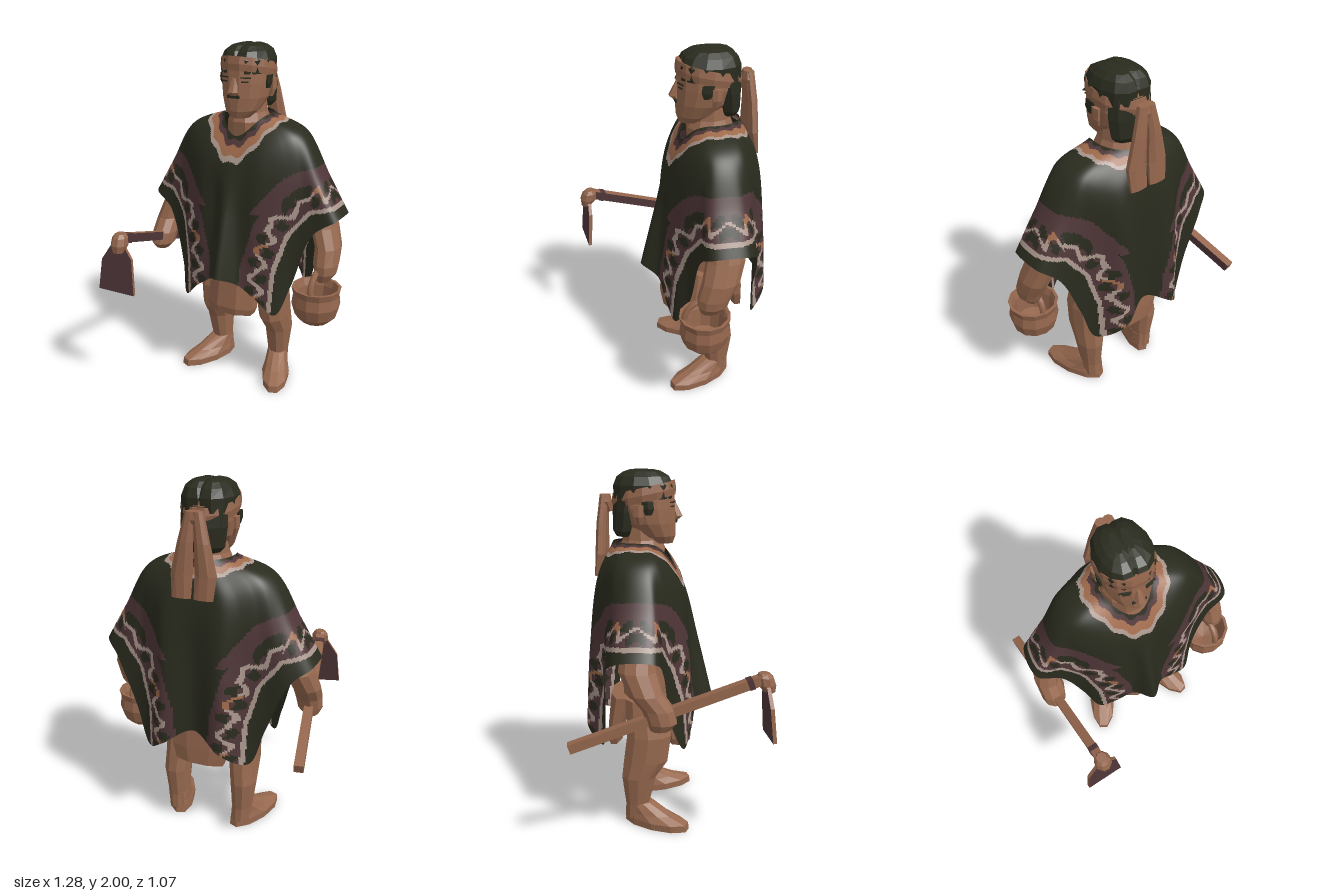
import * as THREE from 'three';

const mat = (name, color, side = THREE.FrontSide) => {
  const m = new THREE.MeshStandardMaterial({ color, side });
  m.name = name;
  return m;
};
const skin = mat('brown skin', 0x97694f);
const clay = mat('clay', 0x94664d, THREE.DoubleSide);
const maroon = mat('maroon', 0x4f3638, THREE.DoubleSide);
const dark = mat('dark olive cloth', 0x2a2b1e, THREE.DoubleSide);
const pale = mat('pale thread', 0xa9968c, THREE.DoubleSide);
const tan = mat('tan thread', 0x9f6a4b, THREE.DoubleSide);

function add(parent, name, geo, material, x = 0, y = 0, z = 0) {
  const m = new THREE.Mesh(geo, material);
  m.name = name;
  m.position.set(x, y, z);
  parent.add(m);
  return m;
}

// Faceted body through stacked ellipses: [x, y, z, rx, rz], bottom to top
function loft(sections, n = 10, tilt = 0) {
  const s = [...sections].sort((a, b) => a[1] - b[1]);
  const pos = [], idx = [];
  for (const [x, y, z, rx, rz] of s)
    for (let i = 0; i < n; i++) {
      const a = ((i + 0.5) / n) * Math.PI * 2;
      pos.push(x + rx * Math.sin(a), y + tilt * Math.cos(a), z + rz * Math.cos(a));
    }
  for (let j = 0; j < s.length - 1; j++)
    for (let i = 0; i < n; i++) {
      const a = j * n + i, b = j * n + (i + 1) % n;
      idx.push(a, b, b + n, a, b + n, a + n);
    }
  const top = (s.length - 1) * n;
  for (let i = 1; i < n - 1; i++) idx.push(0, i + 1, i, top, top + i, top + i + 1);
  const g = new THREE.BufferGeometry();
  g.setAttribute('position', new THREE.Float32BufferAttribute(pos, 3));
  g.setIndex(idx);
  const flat = g.toNonIndexed();
  flat.computeVertexNormals();
  return flat;
}

// Half rings of the poncho, front centre to back centre
const hem = [[0, .73, .215], [.09, .68, .125], [.2, .6, .1], [.3, .51, .06], [.365, .68, -.01], [.47, 1, -.045], [.59, 1.09, -.08],
  [.59, 1.09, -.27], [.5, 1.02, -.34], [.38, .74, -.36], [.3, .53, -.39], [.17, .61, -.495], [0, .7, -.44]];
const chest = [[0, 1.08, .13], [.075, 1.06, .085], [.17, 1.05, .08], [.26, 1.05, .045], [.33, 1.1, 0], [.4, 1.24, -.05], [.475, 1.29, -.09],
  [.475, 1.29, -.26], [.41, 1.24, -.325], [.33, 1.1, -.355], [.26, 1.05, -.39], [.16, 1.05, -.465], [0, 1.08, -.43]];
const shoulder = [[0, 1.37, .055], [.08, 1.38, .045], [.16, 1.41, .03], [.22, 1.45, 0], [.28, 1.49, -.04], [.32, 1.52, -.08], [.345, 1.53, -.13],
  [.345, 1.53, -.22], [.32, 1.52, -.29], [.28, 1.49, -.33], [.22, 1.46, -.37], [.14, 1.45, -.41], [0, 1.45, -.41]];
const neckline = hem.map((_, i) => {
  const a = (i / 12) * Math.PI, c = Math.cos(a);
  return [.135 * Math.sin(a), 1.62 - .11 * Math.max(0, c) ** 3, -.18 + .16 * c];
});

const ringCurve = half => {
  const back = half.slice(1, -1).reverse().map(([x, y, z]) => [-x, y, z]);
  return new THREE.CatmullRomCurve3([...half, ...back].map(p => new THREE.Vector3(...p)), true);
};

// Guide line of the woven side border, in (|x|, y)
const guide = [[.66, 1.18], [.45, 1.13], [.34, .99], [.28, .77], [.265, .45]];
function borderCoords(x, y) {
  let best = 9, along = 0, run = 0, sign = 1;
  for (let i = 0; i < guide.length - 1; i++) {
    const [ax, ay] = guide[i], dx = guide[i + 1][0] - ax, dy = guide[i + 1][1] - ay;
    const len = Math.hypot(dx, dy);
    const t = Math.min(1, Math.max(0, ((x - ax) * dx + (y - ay) * dy) / len ** 2));
    const d = Math.hypot(x - ax - t * dx, y - ay - t * dy);
    if (d < best) {
      best = d;
      along = run + t * len;
      sign = dx * (y - ay) - dy * (x - ax) < 0 ? 1 : -1;
    }
    run += len;
  }
  return [best * sign, along];
}

// Colour index: 0 dark, 1 maroon, 2 pale, 3 tan
function weave(p, neck) {
  const a = Math.atan2(p.x, p.z + .18);
  const d = p.distanceTo(neck) / (.1 + .055 * Math.max(0, Math.cos(a)) ** 6) + .07 * Math.cos(a * 14);
  if (d < .16) return 0;
  if (d < .4) return 1;
  if (d < .8) return 3;
  if (d < 1.03) return 2;
  // The border runs along z on the sleeve and along the guide on the flaps
  const [t, run] = borderCoords(Math.abs(p.x), p.y);
  const width = p.y > 1.1 ? .23 : .18;
  if (t < -.012 || t > width) return 0;
  if (t < .012) return 2;
  const s = run + Math.max(0, p.y - 1.1) * 0.5 + (Math.abs(p.x) > .45 ? Math.abs(p.z + .175) : .12);
  const wave = Math.sin(s * 42);
  const off = t - .085;
  if (Math.abs(off - .036 * wave) < .017) return Math.sin(s * 21 + 1) > .75 ? 3 : 2;
  if (Math.abs(off + .036 * wave) < .028 && Math.abs(wave) > .45) return 0;
  return 1;
}

function ponchoGeometry(cols = 280, rows = 100) {
  const rings = [neckline, shoulder, chest, hem].map(ringCurve);
  const pos = [], cells = [[], [], [], []], grid = [];
  for (let i = 0; i < cols; i++) {
    const line = new THREE.CatmullRomCurve3(rings.map(r => r.getPoint(i / cols)));
    for (let j = 0; j <= rows; j++) {
      const p = line.getPoint(j / rows);
      grid.push(p);
      pos.push(p.x, p.y, p.z);
    }
  }
  const w = rows + 1;
  for (let i = 0; i < cols; i++)
    for (let j = 0; j < rows; j++) {
      const a = i * w + j, d = ((i + 1) % cols) * w + j;
      const mid = grid[a].clone().add(grid[d + 1]).multiplyScalar(.5);
      cells[weave(mid, grid[i * w])].push(a, a + 1, d + 1, a, d + 1, d);
    }
  const g = new THREE.BufferGeometry();
  g.setAttribute('position', new THREE.Float32BufferAttribute(pos, 3));
  g.setIndex(cells.flat());
  let start = 0;
  cells.forEach((c, k) => { g.addGroup(start, c.length, k); start += c.length; });
  g.computeVertexNormals();
  return g;
}

export function createModel() {
  const model = new THREE.Group();
  model.name = 'farmer';
  add(model, 'poncho', ponchoGeometry(), [dark, maroon, pale, tan]);

  // Body, loincloth and neck
  add(model, 'torso', loft([[0, .56, -.16, .15, .1], [0, .7, -.17, .21, .13], [0, 1.1, -.17, .2, .13], [0, 1.4, -.18, .2, .12], [0, 1.5, -.19, .13, .1]]), skin);
  add(model, 'neck', loft([[0, 1.45, -.19, .13, .13], [0, 1.58, -.18, .12, .13], [0, 1.63, -.18, .1, .11], [0, 1.7, -.18, .095, .11]]), skin);
  add(model, 'frontFlap', loft([[0, .46, .02, .15, .075], [0, .5, .02, .165, .08], [0, .75, -.02, .15, .08]], 8), clay);
  add(model, 'backFlap', loft([[0, .46, -.35, .15, .045], [0, .55, -.34, .18, .05], [0, .75, -.3, .18, .07]], 8), clay);

  // Legs, and feet turned outward
  for (const s of [-1, 1]) {
    add(model, 'leg', loft([[s * .2, .04, -.21, .058, .075], [s * .203, .13, -.21, .06, .07], [s * .208, .3, -.2, .077, .1], [s * .2, .4, -.16, .085, .13],
      [s * .19, .55, -.14, .092, .13], [s * .14, .75, -.16, .1, .12]]), skin);
    const foot = add(model, 'foot', loft([[0, .005, .11, .08, .2], [0, .045, .11, .083, .195], [0, .08, .06, .07, .14], [0, .14, 0, .058, .075]]), skin, s * .2, 0, -.2);
    foot.rotation.y = s * .38;
  }

  // Arms and fists
  add(model, 'leftArm', loft([[.4, 1.32, -.17, .06, .08], [.49, 1.03, -.175, .075, .105], [.53, .92, -.145, .072, .1], [.535, .83, -.11, .072, .09],
    [.54, .78, -.1, .06, .08], [.53, .73, -.09, .035, .05]]), skin);
  add(model, 'rightArm', loft([[-.4, 1.32, -.17, .06, .08], [-.5, 1.03, -.175, .08, .1], [-.535, .92, -.13, .075, .09], [-.535, .84, -.07, .075, .085],
    [-.54, .77, -.05, .07, .08], [-.55, .73, -.06, .04, .05]]), skin);

  // Head and face
  const head = new THREE.Group();
  head.name = 'head';
  model.add(head);
  add(head, 'skull', loft([[0, 1.61, -.08, .055, .07], [0, 1.65, -.1, .095, .105], [0, 1.72, -.14, .127, .147], [0, 1.8, -.16, .14, .165],
    [0, 1.88, -.165, .142, .165], [0, 1.93, -.165, .135, .155]], 14), skin);
  add(head, 'nose', loft([[0, 1.735, -.005, .028, .022], [0, 1.755, .012, .03, .033], [0, 1.83, -.012, .014, .018]], 6), skin);
  add(head, 'moustache', new THREE.BoxGeometry(.075, .016, .009), dark, 0, 1.73, .008);
  for (const s of [-1, 1]) {
    const brow = add(head, 'eyebrow', new THREE.BoxGeometry(.06, .006, .009), dark, s * .065, 1.832, -.01);
    brow.rotation.y = s * .3;
    const eye = add(head, 'eye', new THREE.BoxGeometry(.04, .006, .009), dark, s * .06, 1.81, -.01);
    eye.rotation.y = s * .3;
    add(head, 'ear', loft([[s * .132, 1.72, -.18, .012, .018], [s * .145, 1.76, -.185, .014, .028], [s * .145, 1.82, -.185, .014, .03]], 6), skin);
    add(head, 'sideburn', loft([[s * .138, 1.77, -.135, .008, .02], [s * .143, 1.8, -.135, .01, .035], [s * .144, 1.84, -.14, .008, .035]], 6), dark);
  }
  // Hair in two halves with a centre parting
  for (const s of [-1, 1])
    add(head, 'hairTop', loft([[s * .035, 1.85, -.17, .11, .16], [s * .035, 1.92, -.168, .11, .163], [s * .038, 1.965, -.172, .085, .14], [s * .035, 1.99, -.175, .055, .1],
      [s * .03, 2, -.18, .022, .06]], 12), dark);
  add(head, 'hairBack', loft([[0, 1.65, -.27, .09, .05], [0, 1.68, -.275, .118, .062], [0, 1.78, -.265, .128, .073], [0, 1.88, -.25, .125, .08]], 10), dark);
  add(head, 'headband', loft([[0, 1.835, -.165, .147, .172], [0, 1.87, -.167, .153, .177], [0, 1.91, -.167, .147, .17]], 14, .035), clay);
  add(head, 'bandKnot', loft([[0, 1.78, -.36, .03, .03], [0, 1.83, -.375, .06, .035], [0, 1.87, -.375, .045, .025]], 8), clay);
  for (const s of [-1, 1])
    add(head, 'bandTail', loft([[s * .06, 1.44, -.422, .055, .014], [s * .065, 1.56, -.4, .06, .03], [s * .045, 1.72, -.395, .042, .028], [s * .02, 1.87, -.38, .028, .025]], 8), clay);

  // Pot with bail handle
  const pot = new THREE.Group();
  pot.name = 'pot';
  pot.position.set(.5, .48, -.07);
  model.add(pot);
  const profile = [[0, 0], [.08, 0], [.12, .04], [.14, .11], [.132, .17], [.142, .21], [.125, .21], [.11, .17], [.1, .06], [0, .04]];
  const bowl = new THREE.LatheGeometry(profile.map(p => new THREE.Vector2(...p)), 12).toNonIndexed();
  bowl.computeVertexNormals();
  add(pot, 'bowl', bowl, clay);
  const bail = add(pot, 'bail', new THREE.TorusGeometry(.115, .018, 6, 12, Math.PI), clay, .01, .2, 0);
  bail.rotation.y = Math.PI / 2;

  // Hoe: shaft, collar, socket and blade
  const hoe = new THREE.Group();
  hoe.name = 'hoe';
  model.add(hoe);
  const from = new THREE.Vector3(-.61, .65, -.52), to = new THREE.Vector3(-.455, .985, .48);
  const shaft = add(hoe, 'shaft', new THREE.BoxGeometry(.05, .05, from.distanceTo(to)), [maroon, clay, clay, maroon, clay, clay]);
  shaft.position.copy(from).lerp(to, .5);
  shaft.lookAt(to);
  const collar = add(hoe, 'collar', new THREE.BoxGeometry(.056, .056, .03), maroon);
  collar.position.copy(from).lerp(to, .92);
  collar.lookAt(to);
  add(hoe, 'socket', loft([[-.45, .91, .5, .035, .03], [-.45, .95, .485, .05, .05], [-.45, .99, .475, .045, .045], [-.45, 1.01, .47, .03, .03]], 8), clay);
  const outline = new THREE.Shape([[-.035, 0], [.035, 0], [.085, -.08], [.1, -.29], [-.12, -.28], [-.1, -.1]].map(p => new THREE.Vector2(...p)));
  const blade = add(hoe, 'blade', new THREE.ExtrudeGeometry(outline, { depth: .02, bevelEnabled: false }), [maroon, clay], -.46, .95, .475);
  blade.rotation.set(-.08, .15, 0);
  return model;
}
